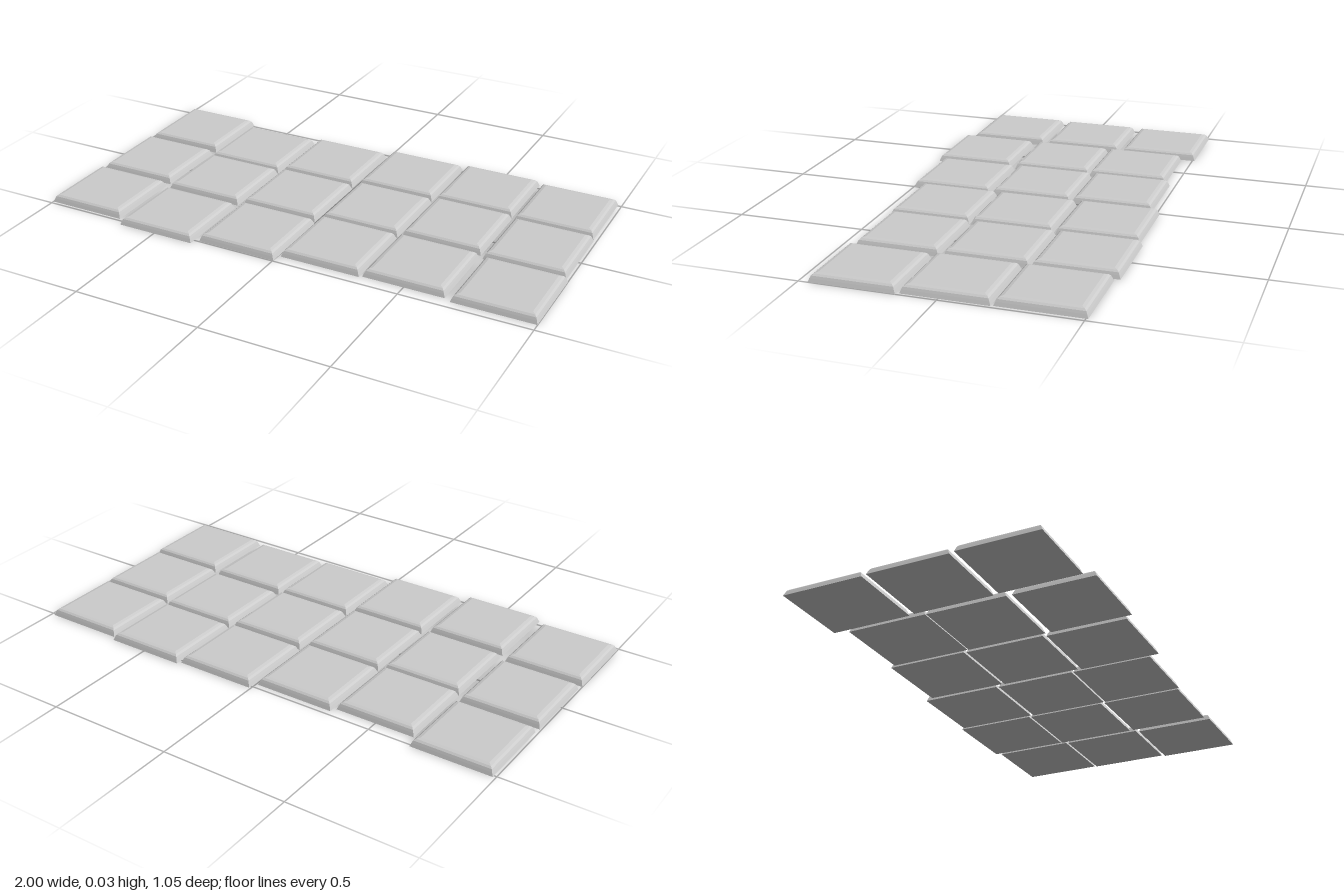
import * as THREE from 'three';

const HALF = 0.159; // half the side of a square tile

// Tile centres [x, z], one row per column, from back to front
const COLUMNS = [
  [[-0.83, -0.35], [-0.835, -0.01], [-0.841, 0.329]],
  [[-0.497, -0.296], [-0.496, 0.026], [-0.495, 0.366]],
  [[-0.167, -0.319], [-0.163, 0.008], [-0.157, 0.338]],
  [[0.166, -0.354], [0.17, -0.026], [0.17, 0.299]],
  [[0.495, -0.368], [0.498, -0.043], [0.498, 0.291]],
  [[0.826, -0.349], [0.83, -0.023], [0.841, 0.306]],
];

// Bevel profile [inset from the edge, height], from the base up
const BEVEL = [[0, 0], [0.005, 0.013], [0.009, 0.022], [0.016, 0.028], [0.028, 0.031]];

// A four-sided lathe gives a square tile with mitred bevels
function tileGeometry() {
  const points = BEVEL.map(([inset, y]) => new THREE.Vector2((HALF - inset) * Math.SQRT2, y));
  points.unshift(new THREE.Vector2(0, 0));
  points.push(new THREE.Vector2(0, 0.031));
  const geometry = new THREE.LatheGeometry(points, 4, Math.PI / 4).toNonIndexed();
  geometry.computeVertexNormals();
  return geometry;
}

export function createModel() {
  const model = new THREE.Group();
  model.name = 'pavingTiles';
  const geometry = tileGeometry();
  const material = new THREE.MeshStandardMaterial({ color: 0xcccccc, flatShading: true });

  // Loosely laid tiles, six columns of three
  COLUMNS.forEach((column, c) => {
    const group = new THREE.Group();
    group.name = `tileColumn${c + 1}`;
    column.forEach(([x, z], r) => {
      const tile = new THREE.Mesh(geometry, material);
      tile.name = `tile${c + 1}_${r + 1}`;
      tile.position.set(x, 0, z);
      group.add(tile);
    });
    model.add(group);
  });
  return model;
}
